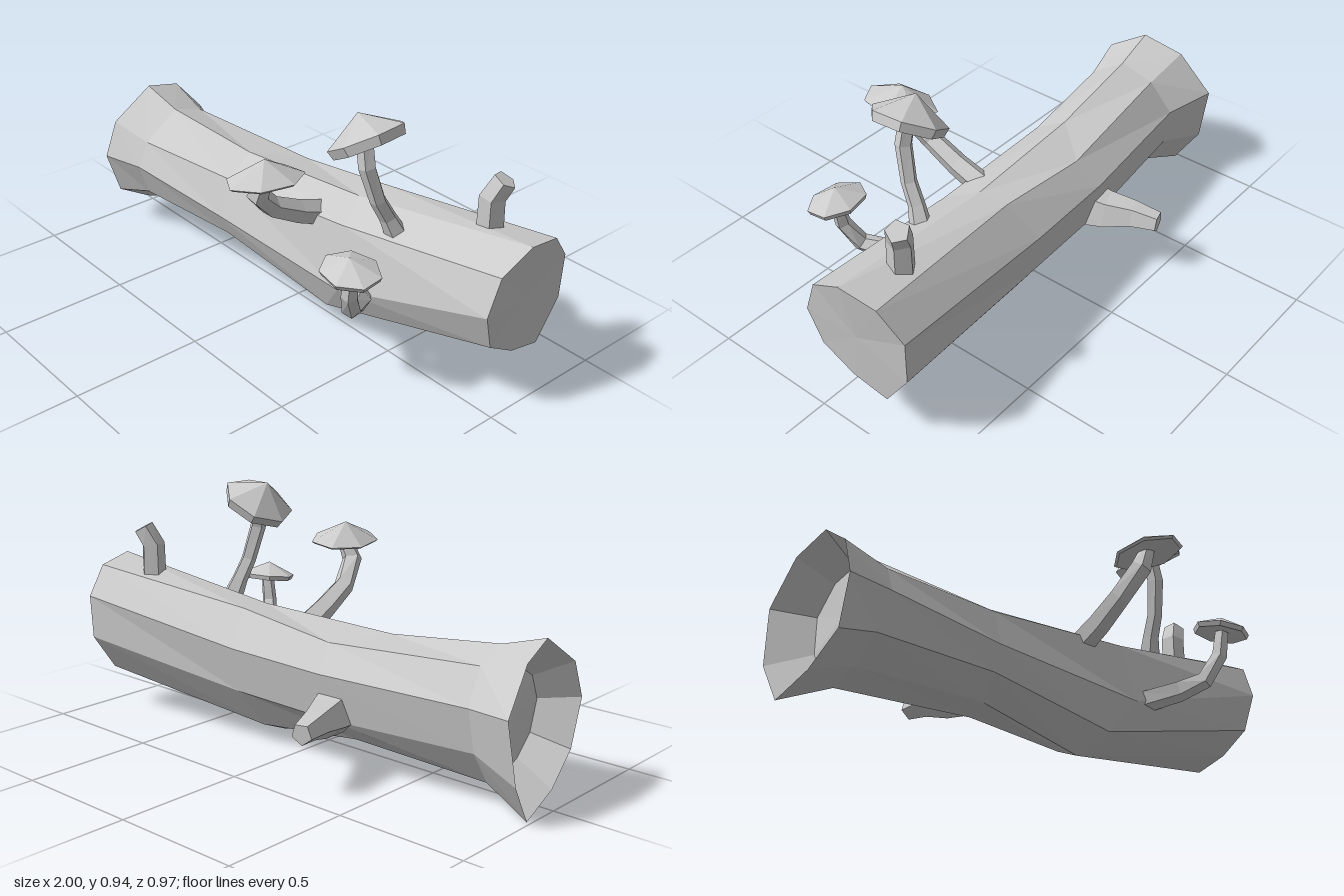
import * as THREE from 'three';

const V = (p) => new THREE.Vector3(...p);
const material = new THREE.MeshStandardMaterial({ color: 0xcccccc, flatShading: true });

const centroid = (ring) =>
  ring.reduce((s, p) => s.add(p), new THREE.Vector3()).divideScalar(ring.length);

// Skin over a list of rings, closed at both ends by a fan to a point
function loft(rings, startPoint = centroid(rings[0]), endPoint = centroid(rings[rings.length - 1])) {
  const pos = [];
  const tri = (...pts) => pts.forEach((p) => pos.push(p.x, p.y, p.z));
  const n = rings[0].length, last = rings[rings.length - 1];
  for (let j = 0; j < n; j++) {
    const k = (j + 1) % n;
    tri(startPoint, rings[0][k], rings[0][j]);
    for (let i = 0; i < rings.length - 1; i++) {
      const [a, b, c, d] = [rings[i][j], rings[i][k], rings[i + 1][k], rings[i + 1][j]];
      tri(a, b, c);
      tri(a, c, d);
    }
    tri(endPoint, last[j], last[k]);
  }
  const geo = new THREE.BufferGeometry();
  geo.setAttribute('position', new THREE.Float32BufferAttribute(pos, 3));
  geo.computeVertexNormals();
  return geo;
}

// Ring of points around a centre, facing along an axis
function ringAt(center, axis, rx, rz, sides, phase = 0) {
  const u = new THREE.Vector3(1, 0, 0).cross(axis).normalize();
  const v = axis.clone().cross(u).normalize();
  return Array.from({ length: sides }, (_, i) => {
    const t = phase + (i / sides) * Math.PI * 2;
    return center.clone().addScaledVector(u, rz * Math.cos(t)).addScaledVector(v, rx * Math.sin(t));
  });
}

// Bent, tapering stalk; each path point is [x, y, z, radius]
function stalk(path, sides) {
  const pts = path.map(([x, y, z]) => V([x, y, z]));
  return loft(pts.map((p, i) => {
    const axis = pts[Math.min(i + 1, pts.length - 1)].clone()
      .sub(pts[Math.max(i - 1, 0)]).normalize();
    return ringAt(p, axis, path[i][3], path[i][3], sides, Math.PI / sides);
  }));
}

function mesh(name, geo) {
  const m = new THREE.Mesh(geo, material);
  m.name = name;
  return m;
}

// Mushroom: bent stem and a faceted, tilted cap
function mushroom(name, { stem, center, up, rx, rz, height, rim, sides, phase }) {
  const g = new THREE.Group();
  g.name = name;
  const c = V(center), axis = V(up).normalize();
  const along = (h) => c.clone().addScaledVector(axis, h);
  const rings = [
    ringAt(along(-rim), axis, rx * 0.93, rz * 0.93, sides, phase),
    ringAt(c, axis, rx, rz, sides, phase),
  ];
  g.add(mesh('stem', stalk(stem, 5)));
  g.add(mesh('cap', loft(rings, along(0.005), along(height))));
  return g;
}

// Log cross-sections: nine points each, top first, then round by the front
const logSections = [
  [[-.93, .575, .03], [-.935, .46, .2], [-.935, .32, .255], [-.935, .145, .2], [-.96, .05, .05],
    [-.985, 0, -.135], [-1, .15, -.23], [-.985, .38, -.265], [-.96, .53, -.13]],
  [[-.76, .525, .02], [-.76, .42, .165], [-.76, .32, .21], [-.78, .185, .16], [-.79, .11, .03],
    [-.8, .075, -.1], [-.8, .2, -.18], [-.79, .36, -.205], [-.77, .48, -.115]],
  [[-.32, .485, -.02], [-.3, .415, .1], [-.3, .27, .15], [-.3, .18, .11], [-.28, .11, 0],
    [-.25, .1, -.13], [-.22, .2, -.25], [-.2, .37, -.28], [-.17, .46, -.19]],
  [[.25, .51, -.075], [.3, .455, .05], [.33, .22, .1], [.23, .09, .06], [.17, .02, -.06],
    [.17, .07, -.18], [.2, .22, -.28], [.2, .39, -.31], [.25, .515, -.2]],
  [[1, .615, -.135], [.99, .545, -.005], [.985, .41, .045], [.97, .27, 0], [.96, .195, -.125],
    [.95, .16, -.265], [.95, .305, -.365], [.955, .475, -.37], [.98, .585, -.28]],
];

export function createModel() {
  const model = new THREE.Group();
  model.name = 'fallenLog';

  // Log, hollowed at its right end
  const rings = logSections.map((s) => s.map(V));
  const mid = centroid(rings[0]);
  const hollow = rings[0].map((p) => p.clone().lerp(mid, 0.35).add(V([0.13, 0, 0])));
  model.add(mesh('log', loft([hollow, ...rings])));

  // Broken branches
  model.add(mesh('topBranch', stalk([
    [.77, .5, -.19, .05], [.77, .685, -.19, .047], [.8, .752, -.212, .042]], 5)));
  model.add(mesh('backBranch', stalk([
    [-.22, .23, -.18, .1], [-.25, .225, -.29, .078], [-.285, .232, -.385, .056],
    [-.31, .228, -.48, .04]], 5)));

  // Mushrooms
  model.add(mushroom('middleMushroom', {
    stem: [[.13, .42, .0, .05], [.14, .475, .13, .045], [.147, .54, .25, .04],
      [.18, .63, .335, .04], [.22, .72, .325, .028]],
    center: [.215, .705, .33], up: [-.12, 1, -.05],
    rx: .12, rz: .15, height: .07, rim: .008, sides: 7, phase: 0,
  }));
  model.add(mushroom('tallMushroom', {
    stem: [[.505, .46, -.03, .045], [.485, .555, .01, .032], [.475, .63, .05, .03],
      [.455, .76, .085, .032], [.432, .868, .08, .031]],
    center: [.435, .865, .073], up: [-.5, .85, .05],
    rx: .14, rz: .143, height: .085, rim: .035, sides: 7, phase: .3,
  }));
  model.add(mushroom('lowMushroom', {
    stem: [[.38, .24, .05, .045], [.5, .285, .15, .042], [.55, .31, .235, .034],
      [.59, .4, .28, .03], [.605, .5, .285, .026]],
    center: [.6, .51, .288], up: [.03, 1, .12],
    rx: .118, rz: .095, height: .05, rim: .018, sides: 7, phase: .25,
  }));

  return model;
}
